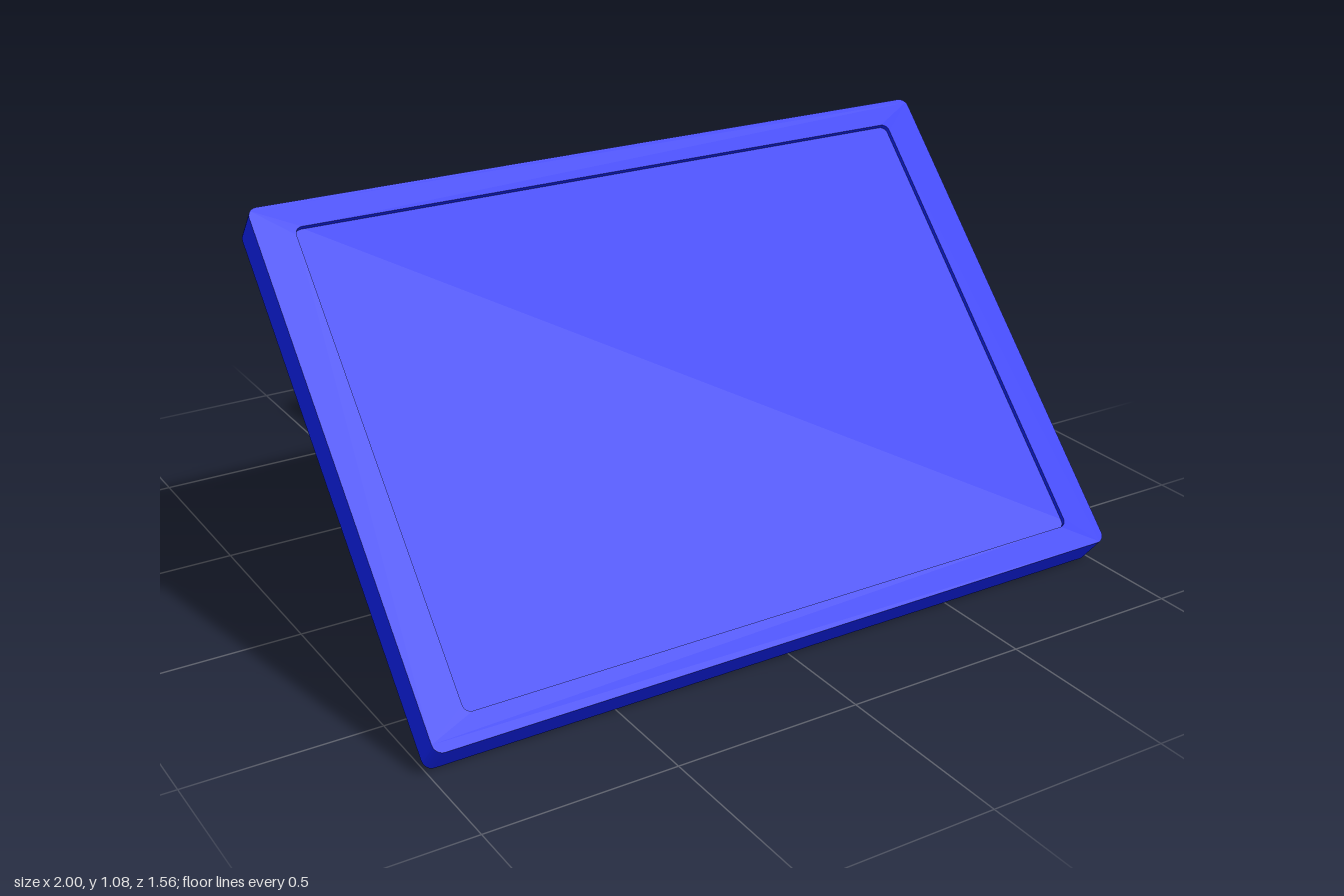
import * as THREE from 'three';

const WIDTH = 2, LENGTH = 1.383, THICK = 0.096, RECESS = 0.012;

// Counter-clockwise rounded rectangle, always the same number of points
function roundedRect(x0, y0, x1, y1, r, steps = 6) {
  const centres = [[x1 - r, y0 + r], [x1 - r, y1 - r], [x0 + r, y1 - r], [x0 + r, y0 + r]];
  const points = [];
  centres.forEach(([cx, cy], corner) => {
    for (let i = 0; i <= steps; i++) {
      const a = (corner - 1 + i / steps) * Math.PI / 2;
      points.push(new THREE.Vector2(cx + r * Math.cos(a), cy + r * Math.sin(a)));
    }
  });
  return points;
}

// Open sleeve lofted through rounded rectangles; each section gives z as a function of y
function sleeveGeometry(sections, x0, x1, r) {
  const positions = [], index = [];
  let n = 0;
  for (const s of sections) {
    const points = roundedRect(x0, s.y0, x1, s.y1, r);
    n = points.length;
    for (const p of points) positions.push(p.x, p.y, s.z(p.y));
  }
  for (let i = 0; i < sections.length - 1; i++) {
    for (let j = 0; j < n; j++) {
      const a = i * n + j, b = i * n + (j + 1) % n, c = a + n, d = b + n;
      index.push(a, c, b, b, c, d);
    }
  }
  const geometry = new THREE.BufferGeometry();
  geometry.setAttribute('position', new THREE.Float32BufferAttribute(positions, 3));
  geometry.setIndex(index);
  geometry.computeVertexNormals();
  return geometry;
}

export function createModel() {
  const model = new THREE.Group();
  const blue = new THREE.MeshStandardMaterial({ color: 0x0f22f5, side: THREE.DoubleSide });

  // Lean of the panel, with its end edges very slightly skewed
  const tilt = new THREE.Matrix4().makeBasis(
    new THREE.Vector3(1, 0, 0),
    new THREE.Vector3(0, 1.01, -0.945).normalize(),
    new THREE.Vector3(0, 0.075, 0.06).normalize()
  ).setPosition(0, 0.003, 0.72);

  // Tilted panel: solid back slab with a raised rim around the shallow screen recess
  const panel = new THREE.Group();
  panel.name = 'panel';
  const outline = () => new THREE.Shape(roundedRect(-WIDTH / 2, 0, WIDTH / 2, LENGTH, 0.025));
  const addLayer = (name, shape, depth, z) => {
    const geometry = new THREE.ExtrudeGeometry(shape, { depth, bevelEnabled: false });
    geometry.translate(0, 0, z).applyMatrix4(tilt);
    const mesh = new THREE.Mesh(geometry, blue);
    mesh.name = name;
    panel.add(mesh);
  };
  addLayer('screenSlab', outline(), THICK - RECESS, 0);
  const rimShape = outline();
  rimShape.holes.push(new THREE.Path(roundedRect(-0.9, 0.07, 0.9, LENGTH - 0.07, 0.02)));
  addLayer('screenRim', rimShape, RECESS, THICK - RECESS);
  model.add(panel);

  // Hollow rear mount: cut to the panel's slope, straight body, flared open end
  const panelBack = y => 0.72 - (y - 0.003) * (0.945 / 1.01);
  const mount = new THREE.Mesh(sleeveGeometry([
    { y0: 0.41, y1: 0.63, z: panelBack },
    { y0: 0.42, y1: 0.663, z: () => -0.515 },
    { y0: 0.34, y1: 0.805, z: () => -0.78 }
  ], -0.27, 0.34, 0.07), blue);
  mount.name = 'rearMount';
  model.add(mount);

  return model;
}
